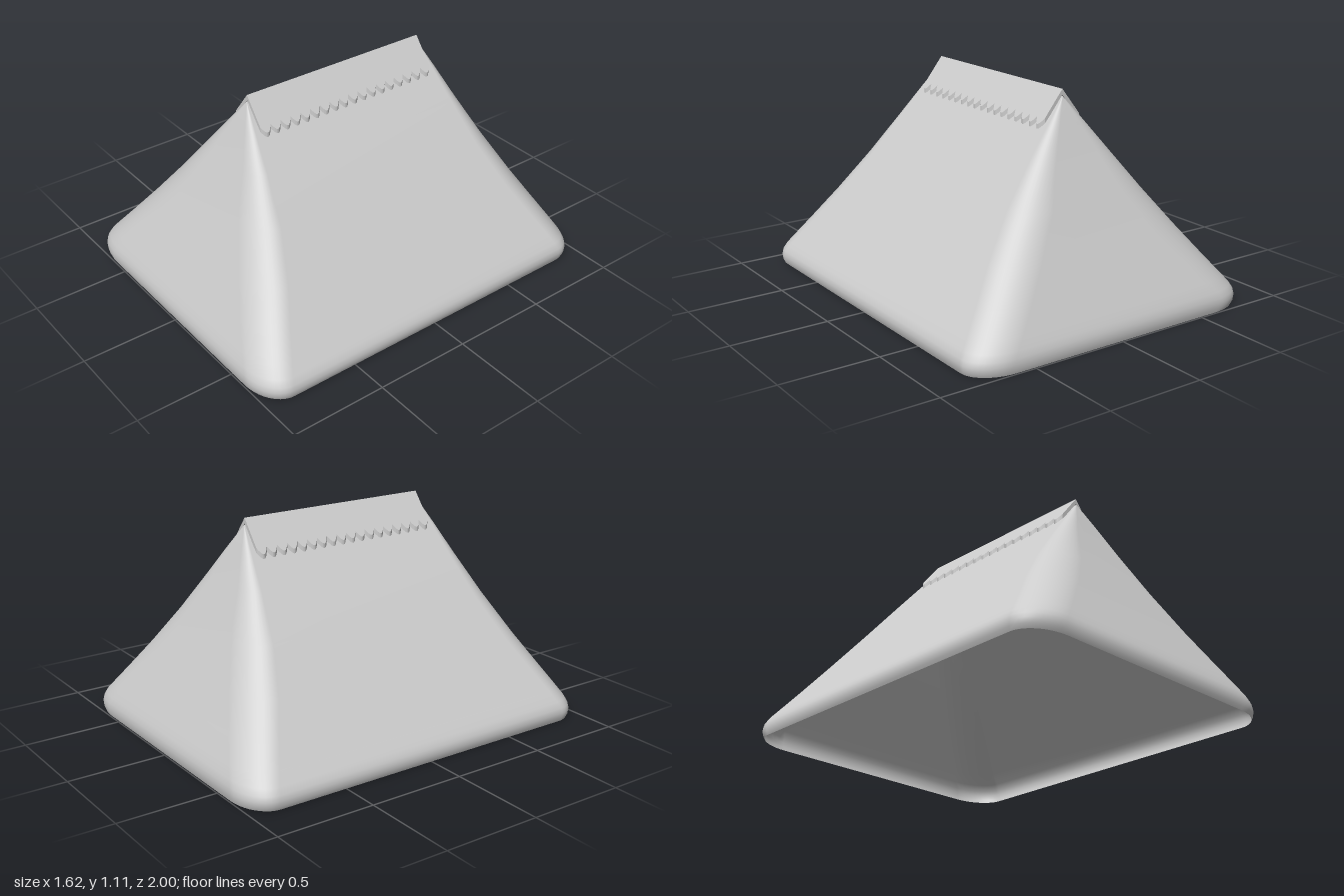
import * as THREE from 'three';

// Roof cross-sections from eave to ridge: height, half width (x), half length (z)
const SECTIONS = [
  [0, 0.8, 0.992], [0.02, 0.808, 0.998], [0.045, 0.81, 1], [0.07, 0.804, 0.997],
  [0.1, 0.786, 0.987], [0.15, 0.745, 0.963], [0.25, 0.665, 0.912], [0.4, 0.548, 0.836],
  [0.6, 0.39, 0.74], [0.8, 0.228, 0.645], [0.95, 0.103, 0.58], [1.02, 0.043, 0.548], [1.07, 0, 0.525],
];

// Hipped shell with soft corners, open underneath
function roofGeometry() {
  const arc = 10, count = 4 * (arc + 1);
  const positions = [], index = [];
  for (const [y, hx, hz] of SECTIONS) {
    const k = Math.min(1, hx / 0.45);
    const rx = 0.2 * k, rz = 0.14 * k;
    for (let q = 0; q < 4; q++) {
      const sx = q === 0 || q === 3 ? 1 : -1;
      const sz = q < 2 ? 1 : -1;
      for (let i = 0; i <= arc; i++) {
        const a = (q + i / arc) * Math.PI / 2;
        positions.push(sx * (hx - rx) + rx * Math.cos(a), y, sz * (hz - rz) + rz * Math.sin(a));
      }
    }
  }
  for (let r = 0; r < SECTIONS.length - 1; r++) {
    for (let j = 0; j < count; j++) {
      const a = r * count + j, b = r * count + (j + 1) % count;
      const c = a + count, d = b + count;
      index.push(a, c, b, b, c, d);
    }
  }
  const geometry = new THREE.BufferGeometry();
  geometry.setAttribute('position', new THREE.Float32BufferAttribute(positions, 3));
  geometry.setIndex(index);
  geometry.computeVertexNormals();
  return geometry;
}

// One sloping side of the ridge cap with a scalloped lower edge
function capGeometry(side) {
  const half = 0.522, teeth = 18, steps = 8, length = 0.2, scallop = 0.036;
  const shape = new THREE.Shape();
  shape.moveTo(0, -half);
  for (let t = 0; t < teeth; t++) {
    for (let i = 0; i <= steps; i++) {
      if (t > 0 && i === 0) continue;
      const u = i / steps;
      const dip = Math.sin(Math.PI * u);
      shape.lineTo(length - scallop * (1 - dip), -half + (t + u) * 2 * half / teeth);
    }
  }
  shape.lineTo(0, half);
  shape.closePath();
  const geometry = new THREE.ExtrudeGeometry(shape, { depth: 1, bevelEnabled: false });
  // Lay the sheet on the slope; its thickness runs straight down so both sides mitre at the ridge
  const matrix = new THREE.Matrix4().makeBasis(
    new THREE.Vector3(side * 0.62, -0.785, 0),
    new THREE.Vector3(0, 0, side),
    new THREE.Vector3(0, -0.028, 0)
  ).setPosition(0, 1.105, 0);
  geometry.applyMatrix4(matrix);
  geometry.computeVertexNormals();
  return geometry;
}

export function createModel() {
  const group = new THREE.Group();
  group.name = 'hippedRoof';
  const grey = new THREE.MeshStandardMaterial({ color: 0xcccccc, side: THREE.DoubleSide });
  grey.name = 'light grey';

  const roof = new THREE.Mesh(roofGeometry(), grey);
  roof.name = 'roofShell';
  group.add(roof);

  const cap = new THREE.Group();
  cap.name = 'ridgeCap';
  for (const side of [1, -1]) {
    const half = new THREE.Mesh(capGeometry(side), grey);
    half.name = side > 0 ? 'leftCapSlope' : 'rightCapSlope';
    cap.add(half);
  }
  group.add(cap);
  return group;
}
